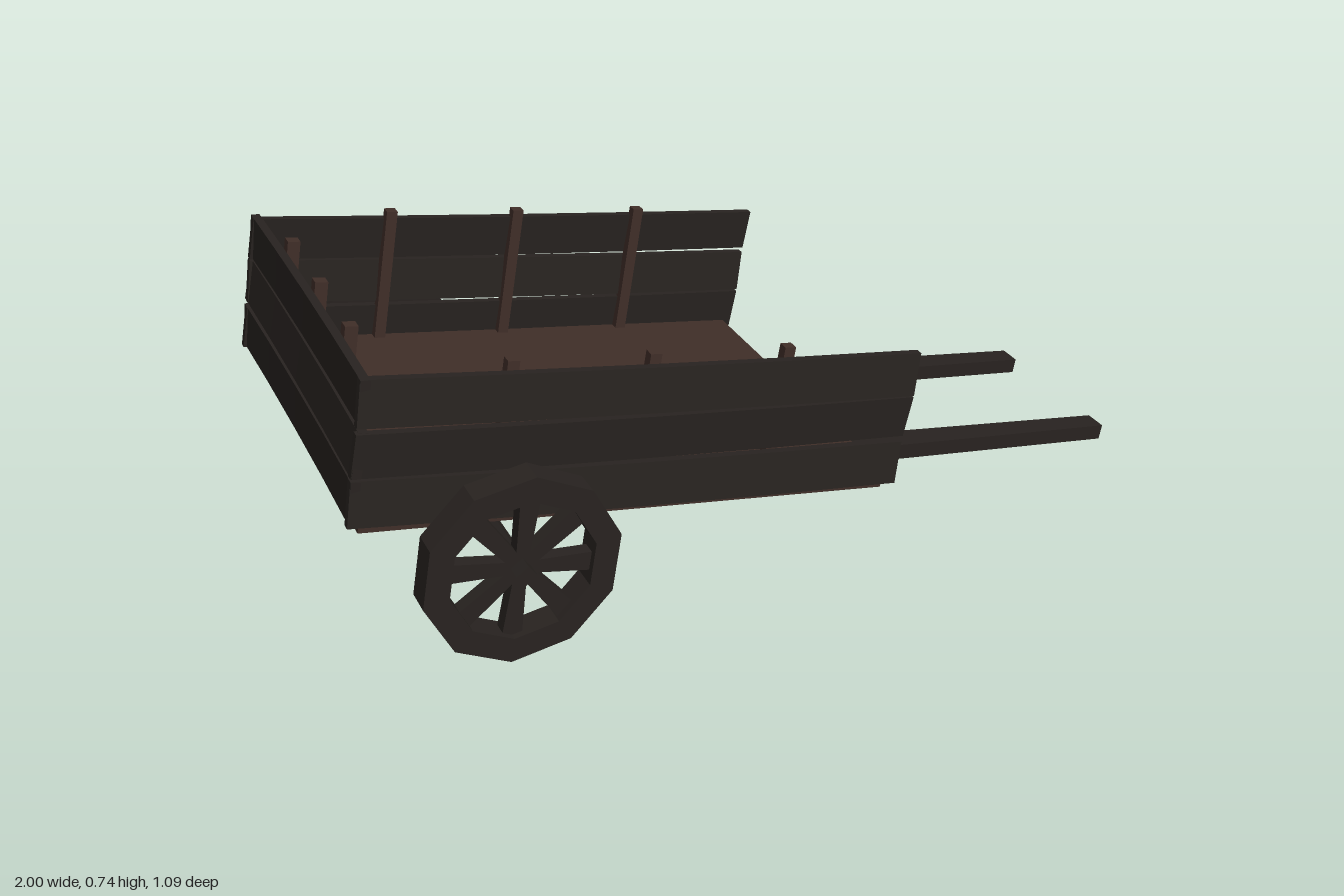
import * as THREE from 'three';

const TILT = 0.178;
const darkWood = new THREE.MeshStandardMaterial({ color: 0x282320, flatShading: true });
const brownWood = new THREE.MeshStandardMaterial({ color: 0x402e28, flatShading: true });

function add(parent, name, geometry, material, x = 0, y = 0, z = 0) {
  const mesh = new THREE.Mesh(geometry, material);
  mesh.name = name;
  mesh.position.set(x, y, z);
  parent.add(mesh);
  return mesh;
}

// Move every vertex of a geometry by a rule
function warp(geometry, rule) {
  const p = geometry.attributes.position;
  const v = new THREE.Vector3();
  for (let i = 0; i < p.count; i++) {
    rule(v.fromBufferAttribute(p, i));
    p.setXYZ(i, v.x, v.y, v.z);
  }
  geometry.computeVertexNormals();
  return geometry;
}

// Plank along x, bowed sideways by a small amount
function plank(length, height, thickness, bow, skew) {
  const half = length / 2;
  return warp(new THREE.BoxGeometry(length, height, thickness, 4, 1, 1), (v) => {
    const t = v.x / half;
    v.z += bow * (1 - t * t) + skew * (v.y / height);
    v.y += skew * 0.3 * t;
  });
}

function polygon(path, radius, sides, start) {
  for (let i = 0; i < sides; i++) {
    const a = start + (i / sides) * Math.PI * 2;
    const x = radius * Math.cos(a), y = radius * Math.sin(a);
    if (i === 0) path.moveTo(x, y); else path.lineTo(x, y);
  }
  path.closePath();
  return path;
}

function makeWheel() {
  const wheel = new THREE.Group();
  wheel.name = 'wheel';
  const width = 0.064;
  // Ten-sided rim
  const outline = polygon(new THREE.Shape(), 0.219, 10, Math.PI / 10);
  outline.holes.push(polygon(new THREE.Path(), 0.162, 10, Math.PI / 10));
  const rim = new THREE.ExtrudeGeometry(outline, { depth: width, bevelEnabled: false });
  add(wheel, 'rim', rim.translate(0, 0, -width / 2), darkWood);
  // Eight spokes that widen towards the rim
  for (let i = 0; i < 8; i++) {
    const geometry = warp(new THREE.BoxGeometry(0.036, 0.17, 0.032), (v) => {
      v.y += 0.085;
      v.x *= 0.75 + v.y * 3;
    });
    add(wheel, 'spoke', geometry, darkWood).rotation.z = i * Math.PI / 4;
  }
  return wheel;
}

export function createModel() {
  const model = new THREE.Group();
  model.name = 'handCart';
  // Whole cart leans down towards the shafts
  const cart = new THREE.Group();
  cart.name = 'tiltedCart';
  cart.rotation.z = -TILT;
  model.add(cart);

  // Cart bed
  add(cart, 'floor', new THREE.BoxGeometry(1.23, 0.041, 0.84), brownWood, -0.415, 0.2245, -0.003);

  // Side walls: three planks and three posts each
  const rows = [0.274, 0.386, 0.496];
  for (const side of [1, -1]) {
    const z = side > 0 ? 0.42 : -0.436;
    rows.forEach((y, i) => {
      const skew = (i % 2 ? 0.008 : -0.008) * side;
      add(cart, 'sidePlank', plank(1.284, 0.102, 0.018, 0.008, skew), darkWood, -0.416, y, z);
    });
    for (const x of [-0.74, -0.425, -0.106]) {
      add(cart, 'sidePost', new THREE.BoxGeometry(0.026, 0.33, 0.024), brownWood,
        x, 0.403, side > 0 ? 0.4 : -0.413);
    }
  }

  // Tailgate: three planks and three posts
  rows.forEach((y, i) => {
    const geometry = plank(0.88, 0.102, 0.02, 0.004, i % 2 ? 0.006 : -0.006);
    geometry.rotateY(Math.PI / 2);
    add(cart, 'tailPlank', geometry, darkWood, -1.044, y, -0.013);
  });
  for (const z of [0.212, -0.012, -0.237]) {
    add(cart, 'tailPost', new THREE.BoxGeometry(0.028, 0.33, 0.026), brownWood, -1.018, 0.405, z);
  }

  // Pulling shafts, narrowing towards the free end
  for (const z of [0.204, -0.19]) {
    const length = 0.96;
    const geometry = warp(new THREE.BoxGeometry(length, 0.038, 1), (v) => {
      const t = v.x / length + 0.5;
      v.z *= 0.077 - 0.02 * t;
      v.y += 0.012 * t;
    });
    add(cart, 'shaft', geometry, darkWood, 0.499, 0.183, z);
  }

  // Square axle and wheels
  const axleX = -0.707, axleY = 0.144;
  const axle = new THREE.CylinderGeometry(0.023, 0.023, 1.086, 4).rotateX(Math.PI / 2);
  add(cart, 'axle', axle, darkWood, axleX, axleY, 0);
  for (const z of [0.493, -0.503]) {
    const wheel = makeWheel();
    wheel.position.set(axleX, axleY, z);
    cart.add(wheel);
  }
  return model;
}
